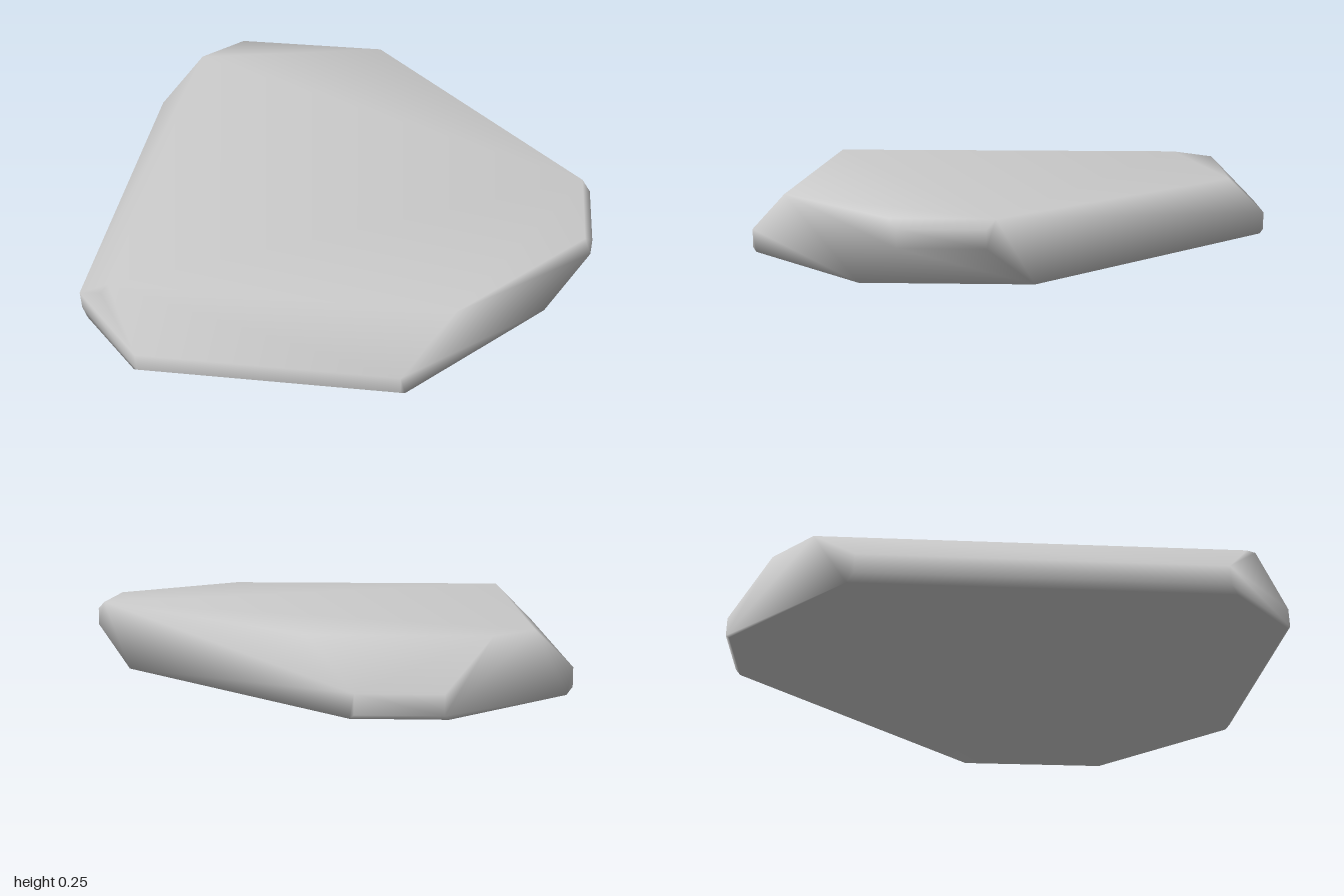
import * as THREE from 'three';
import { ConvexGeometry } from 'three/addons/geometries/ConvexGeometry.js';
import { mergeVertices } from 'three/addons/utils/BufferGeometryUtils.js';

// Bounding planes of the slab: normal direction (x, y, z) and limit of n . p
const LIMITS = [
  // flat sides, base and top
  [1, 0, 0, 0.915], [-1, 0, 0, 0.915], [0, 1, 0, 0.25], [0, -1, 0, 0], [0, 0, 1, 1], [0, 0, -1, 1],
  // bevels along the left and right sides
  [1, 1, 0, 1.135], [1, -1, 0, 0.76], [-1, 1, 0, 1.01], [-1, -1, 0, 0.89],
  // bevels along the front and back
  [0, 1, 1, 1.085], [0, -1, 1, 0.985], [0, 1, -1, 1.085], [0, -1, -1, 0.985],
  // cut-off corners of the outline
  [1, 0, 1, 1.275], [1, 0, -1, 0.85], [-1, 0, 1, 1.64], [-1, 0, -1, 1.44],
];

// Corners of the solid: every meeting point of three planes that lies within all the others
function slabCorners() {
  const planes = LIMITS.map(([x, y, z, d]) => ({ n: new THREE.Vector3(x, y, z), d }));
  const corners = new Map();
  for (let i = 0; i < planes.length; i++)
    for (let j = i + 1; j < planes.length; j++)
      for (let k = j + 1; k < planes.length; k++) {
        const [a, b, c] = [planes[i], planes[j], planes[k]];
        const bc = b.n.clone().cross(c.n);
        const det = a.n.dot(bc);
        if (Math.abs(det) < 1e-6) continue;
        const p = bc.multiplyScalar(a.d)
          .addScaledVector(c.n.clone().cross(a.n), b.d)
          .addScaledVector(a.n.clone().cross(b.n), c.d)
          .divideScalar(det);
        if (planes.every(({ n, d }) => n.dot(p) <= d + 1e-6))
          corners.set(p.toArray().map((v) => Math.round(v * 1000)).join(), p);
      }
  return [...corners.values()];
}

export function createModel() {
  const group = new THREE.Group();
  group.name = 'bevelledSlab';

  // Share the corners between faces so the shading runs smoothly over the bevels
  let geometry = new ConvexGeometry(slabCorners());
  geometry.deleteAttribute('normal');
  geometry = mergeVertices(geometry, 1e-4);
  geometry.computeVertexNormals();

  const slab = new THREE.Mesh(geometry, new THREE.MeshStandardMaterial({ color: 0xcccccc }));
  slab.name = 'slab';
  group.add(slab);
  return group;
}
